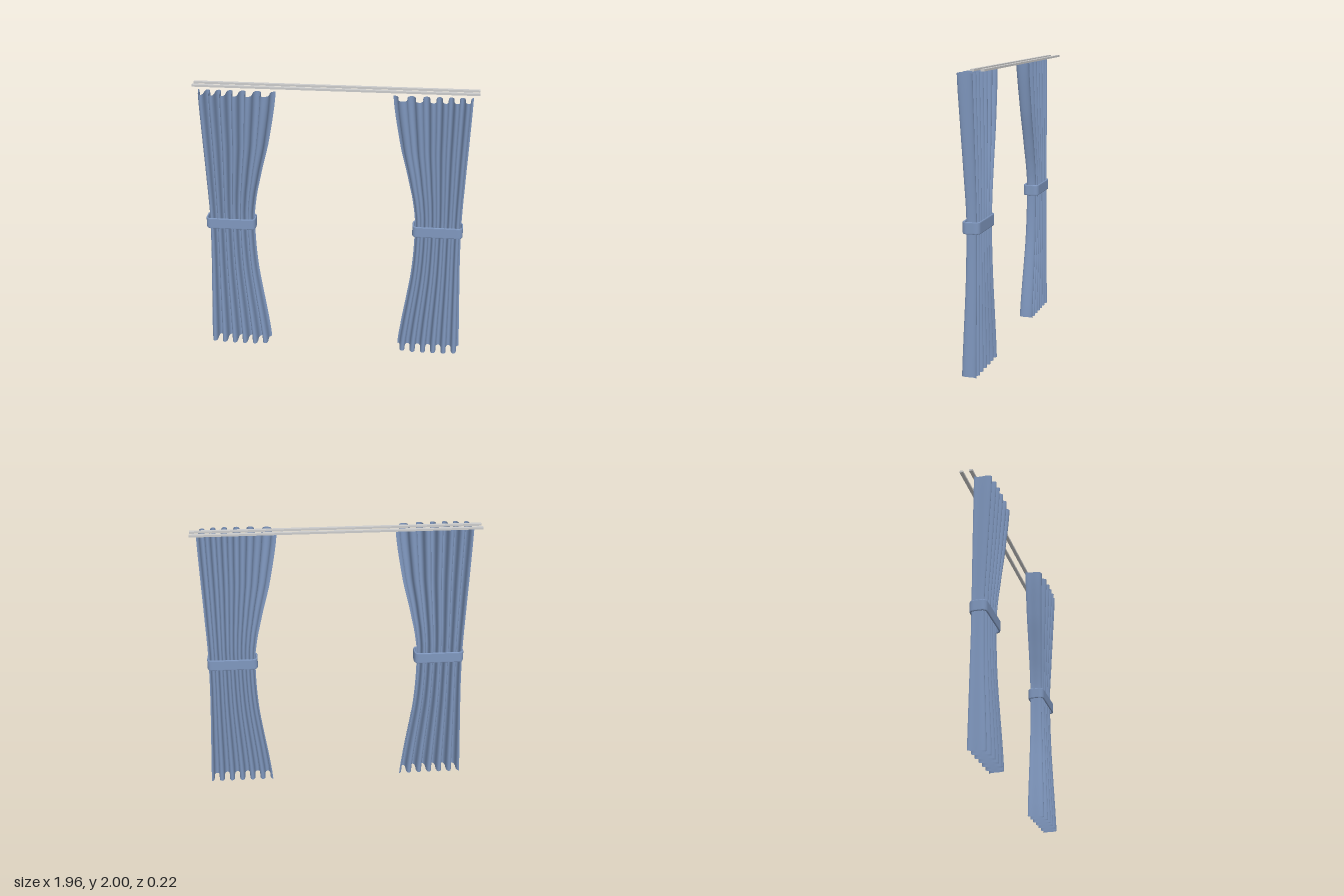
import * as THREE from 'three';

const metal = new THREE.MeshStandardMaterial({ color: 0xcccccc });
const cloth = new THREE.MeshStandardMaterial({ color: 0x7f97be, side: THREE.DoubleSide });

const FOLDS = 6;
const HEIGHT = 1.97;
// Panel outline from floor to top: [y, outer x, inner x, front z, back z]
const OUTLINE = [
  [0, 0.937, 0.477, 0.09, -0.032],
  [0.2, 0.93, 0.5, 0.082, -0.032],
  [0.4, 0.922, 0.53, 0.072, -0.032],
  [0.6, 0.914, 0.558, 0.063, -0.032],
  [0.8, 0.908, 0.573, 0.058, -0.031],
  [1.0, 0.906, 0.576, 0.056, -0.031],
  [1.1, 0.907, 0.568, 0.058, -0.031],
  [1.3, 0.914, 0.53, 0.07, -0.029],
  [1.6, 0.926, 0.458, 0.088, -0.025],
  [HEIGHT, 0.938, 0.4, 0.108, -0.02],
];

// Smooth lookup of the outline at a given height
function outlineAt(y) {
  let i = 0;
  while (i < OUTLINE.length - 2 && OUTLINE[i + 1][0] < y) i++;
  const f = (y - OUTLINE[i][0]) / (OUTLINE[i + 1][0] - OUTLINE[i][0]);
  const row = (k) => OUTLINE[THREE.MathUtils.clamp(k, 0, OUTLINE.length - 1)];
  return [1, 2, 3, 4].map((c) => {
    const [a, b, d, e] = [i - 1, i, i + 1, i + 2].map((k) => row(k)[c]);
    return b + 0.5 * f * (d - a + f * (2 * a - 5 * b + 4 * d - e + f * (3 * (b - d) + e - a)));
  });
}

// Pleated sheet: a plane whose vertices follow looping folds between the outline edges
function pleatedPanel(side) {
  const geo = new THREE.PlaneGeometry(1, HEIGHT, FOLDS * 24, 40);
  const pos = geo.attributes.position;
  for (let i = 0; i < pos.count; i++) {
    const t = pos.getX(i) + 0.5;
    const y = pos.getY(i) + HEIGHT / 2;
    const [outer, inner, front, back] = outlineAt(y);
    const phase = t * FOLDS * Math.PI * 2;
    // Sideways swing makes each fold fuller at its crest than at its neck
    const s = t + (0.58 * Math.sin(2 * phase)) / (FOLDS * Math.PI * 2);
    // The fold at the opening spreads wider towards the top
    const spread = 0.18 * THREE.MathUtils.smoothstep(y, 0.9, HEIGHT);
    const u = s * (1 - spread) + spread * s ** 4;
    const depth = (front - back) * (1 - 0.2 * (2 * t - 1) ** 4);
    const z = back + depth * (0.5 - 0.5 * Math.cos(phase));
    pos.setXYZ(i, side * (outer + (inner - outer) * u), y, z);
  }
  geo.computeVertexNormals();
  return geo;
}

function roundedRect(path, w, d, r) {
  const x = w / 2, y = d / 2;
  path.moveTo(-x + r, -y);
  path.lineTo(x - r, -y);
  path.quadraticCurveTo(x, -y, x, -y + r);
  path.lineTo(x, y - r);
  path.quadraticCurveTo(x, y, x - r, y);
  path.lineTo(-x + r, y);
  path.quadraticCurveTo(-x, y, -x, y - r);
  path.lineTo(-x, -y + r);
  path.quadraticCurveTo(-x, -y, -x + r, -y);
  return path;
}

// Thin closed band that gathers the panel
function tieBand() {
  const shape = roundedRect(new THREE.Shape(), 0.348, 0.112, 0.035);
  shape.holes.push(roundedRect(new THREE.Path(), 0.342, 0.106, 0.032));
  const geo = new THREE.ExtrudeGeometry(shape, {
    depth: 0.064, curveSegments: 10,
    bevelEnabled: true, bevelThickness: 0.008, bevelSize: 0.004, bevelSegments: 3,
  });
  geo.translate(0, 0, -0.032);
  geo.rotateX(-Math.PI / 2);
  return geo;
}

export function createModel() {
  const model = new THREE.Group();
  const add = (name, geo, mat, x = 0, y = 0, z = 0) => {
    const mesh = new THREE.Mesh(geo, mat);
    mesh.name = name;
    mesh.position.set(x, y, z);
    model.add(mesh);
  };

  // Twin ceiling rails
  add('frontRail', new THREE.BoxGeometry(1.96, 0.014, 0.024), metal, 0, 1.993, -0.03);
  add('backRail', new THREE.BoxGeometry(1.96, 0.014, 0.024), metal, 0, 1.993, -0.098);

  // Mirrored curtains with their tiebacks
  for (const [name, side] of [['left', 1], ['right', -1]]) {
    add(name + 'Curtain', pleatedPanel(side), cloth);
    add(name + 'Tieback', tieBand(), cloth, side * 0.738, 0.99, 0.01);
  }
  return model;
}
